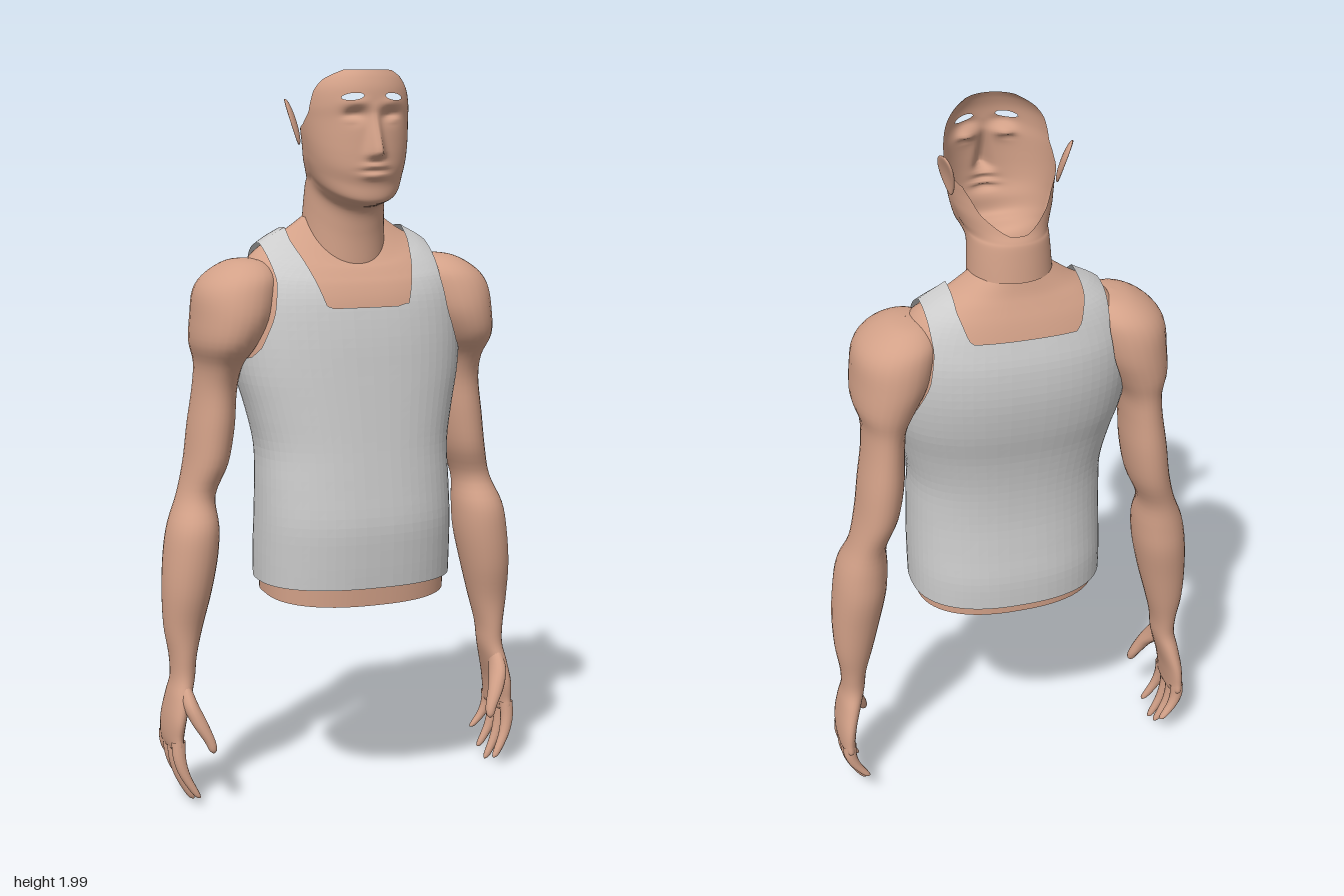
import * as THREE from 'three';
import { mergeVertices } from 'three/addons/utils/BufferGeometryUtils.js';

const skin = new THREE.MeshStandardMaterial({ color: 0xd3a188, side: THREE.DoubleSide });
const cloth = new THREE.MeshStandardMaterial({ color: 0xcccccc, side: THREE.DoubleSide, flatShading: true });

// Piecewise linear lookup in [[x, y], ...]
function lookup(pts, x) {
  if (x <= pts[0][0]) return pts[0][1];
  for (let i = 1; i < pts.length; i++) {
    const [x0, y0] = pts[i - 1], [x1, y1] = pts[i];
    if (x <= x1) return y0 + (y1 - y0) * (x - x0) / (x1 - x0);
  }
  return pts[pts.length - 1][1];
}

// Catmull-Rom through the rows of a section table, t in 0..1
function sampleRows(rows, t) {
  const last = rows.length - 1, f = t * last, k = Math.min(Math.floor(f), last - 1), w = f - k;
  const [a, b, c, d] = [k - 1, k, k + 1, k + 2].map(i => rows[Math.max(0, Math.min(last, i))]);
  return b.map((p, i) => p + 0.5 * w * (c[i] - a[i] + w * (2 * a[i] - 5 * p + 4 * c[i] - d[i]
    + w * (3 * (p - c[i]) + d[i] - a[i]))));
}

// Closed rings, bottom to top. Row: [ySide, yFront, centreX, halfWidth, zFront, zBack, squareness]
function loft(rows, around, steps, shape) {
  const pos = [], idx = [];
  for (let i = 0; i <= steps; i++) {
    const [y, yf, cx, rx, zf, zb, n] = sampleRows(rows, i / steps);
    for (let j = 0; j < around; j++) {
      const a = j / around * Math.PI * 2, c = Math.cos(a), s = Math.sin(a);
      const u = Math.sign(c) * Math.abs(c) ** (2 / n), v = Math.sign(s) * Math.abs(s) ** (2 / n);
      const p = new THREE.Vector3(cx + rx * u, y + (yf - y) * Math.max(0, v), (zf + zb) / 2 + (zf - zb) / 2 * v);
      if (shape) shape(p);
      pos.push(p.x, p.y, p.z);
      if (i < steps) {
        const k = i * around + j, m = i * around + (j + 1) % around;
        idx.push(k, k + around, m, m, k + around, m + around);
      }
    }
  }
  const g = new THREE.BufferGeometry();
  g.setAttribute('position', new THREE.Float32BufferAttribute(pos, 3));
  g.setIndex(idx);
  g.computeVertexNormals();
  return g;
}

// Keep only the part of a surface where keep(point) > 0
function trim(geometry, keep) {
  const pos = geometry.attributes.position, idx = geometry.index, out = [];
  for (let i = 0; i < idx.count; i += 3) {
    const tri = [0, 1, 2].map(k => new THREE.Vector3().fromBufferAttribute(pos, idx.getX(i + k)));
    const f = tri.map(keep), poly = [];
    for (let k = 0; k < 3; k++) {
      const m = (k + 1) % 3;
      if (f[k] > 0) poly.push(tri[k]);
      if (f[k] > 0 !== f[m] > 0) poly.push(tri[k].clone().lerp(tri[m], f[k] / (f[k] - f[m])));
    }
    for (let k = 2; k < poly.length; k++) for (const p of [poly[0], poly[k - 1], poly[k]]) out.push(p.x, p.y, p.z);
  }
  let g = new THREE.BufferGeometry();
  g.setAttribute('position', new THREE.Float32BufferAttribute(out, 3));
  g = mergeVertices(g, 1e-5);
  g.computeVertexNormals();
  return g;
}

function add(parent, name, geometry, material) {
  const mesh = new THREE.Mesh(geometry, material);
  mesh.name = name;
  parent.add(mesh);
  return mesh;
}

// Limb from rows listed top to bottom: [y, xInner, xOuter, zFront, zBack]
function limb(rows, around, steps) {
  return loft(rows.map(([y, x0, x1, zf, zb]) => [y, y, (x0 + x1) / 2, (x1 - x0) / 2, zf, zb, 2.1]).reverse(), around, steps);
}

const torsoRows = [
  [0.63, 0.63, 0.272, 0.225, -0.19], [0.71, 0.71, 0.273, 0.23, -0.19], [0.8, 0.8, 0.272, 0.232, -0.18],
  [0.9, 0.9, 0.27, 0.22, -0.172], [1.0, 1.0, 0.27, 0.207, -0.175], [1.1, 1.1, 0.29, 0.195, -0.19],
  [1.2, 1.2, 0.315, 0.183, -0.215], [1.3, 1.3, 0.326, 0.17, -0.23], [1.39, 1.39, 0.325, 0.152, -0.228],
  [1.46, 1.44, 0.31, 0.132, -0.212], [1.515, 1.465, 0.275, 0.115, -0.195], [1.555, 1.485, 0.225, 0.1, -0.178],
  [1.585, 1.495, 0.17, 0.09, -0.166], [1.625, 1.505, 0.112, 0.08, -0.156]];

const torso = (inset, around, steps) => loft(torsoRows.map(([y, yf, rx, zf, zb]) =>
  [y - inset * 0.6, yf - inset * 0.6, 0, rx - inset, zf - inset, zb + inset, 2.4]), around, steps);

// Shirt outline: armholes, square neckline and straps
const armhole = [[1.21, 0.4], [1.235, 0.315], [1.27, 0.285], [1.36, 0.25], [1.45, 0.236], [1.54, 0.242]];
const neckSide = [[1.38, 0.115], [1.55, 0.17]];
function shirtArea(p) {
  const x = Math.abs(p.x), neckY = p.z > -0.03 ? 1.38 : 1.475;
  return Math.min(lookup(armhole, p.y) - x, Math.max(neckY - p.y, x - lookup(neckSide, p.y)));
}

const headRows = [
  [1.61, 1.49, 0.11, 0.078, -0.155], [1.66, 1.57, 0.107, 0.082, -0.15], [1.7, 1.632, 0.105, 0.098, -0.145],
  [1.715, 1.648, 0.108, 0.148, -0.14], [1.735, 1.66, 0.118, 0.178, -0.13], [1.765, 1.7, 0.128, 0.183, -0.12],
  [1.79, 1.735, 0.133, 0.192, -0.115], [1.815, 1.775, 0.137, 0.193, -0.11], [1.84, 1.82, 0.14, 0.191, -0.11],
  [1.875, 1.87, 0.142, 0.188, -0.11], [1.91, 1.91, 0.142, 0.19, -0.11], [1.95, 1.95, 0.136, 0.187, -0.11],
  [1.98, 1.98, 0.12, 0.178, -0.1], [2.0, 2.0, 0.098, 0.168, -0.09]];

const bump = (v, centre, width) => Math.exp(-(((v - centre) / width) ** 2));
const noseHeight = [[1.765, 0], [1.785, 0.042], [1.8, 0.04], [1.89, 0.004], [1.92, 0]];

// Nose, eye sockets, lids, lips and chin
function faceFeatures(p) {
  if (p.z < 0.05) return;
  const x = Math.abs(p.x), { y } = p;
  p.z += lookup(noseHeight, y) * bump(x, 0, 0.013 + 0.1 * Math.max(0, 1.86 - y))
    - 0.022 * bump(x, 0.05, 0.026) * bump(y, 1.883, 0.017)
    + 0.01 * bump(x, 0.055, 0.02) * bump(y, 1.872, 0.008)
    + 0.006 * bump(x, 0.05, 0.03) * bump(y, 1.915, 0.012)
    + 0.012 * bump(x, 0, 0.03) * (bump(y, 1.752, 0.009) + bump(y, 1.727, 0.009))
    - 0.006 * bump(x, 0, 0.035) * bump(y, 1.74, 0.005);
}

// Open crown: the edge climbs from nape to forehead, with gaps for the brows
const crownEdge = [[-0.16, 1.72], [-0.13, 1.73], [-0.08, 1.78], [-0.04, 1.84], [0.03, 1.86],
  [0.07, 1.89], [0.085, 1.95], [0.1, 1.975], [0.15, 2.01]];
function headArea(p) {
  const brow = Math.hypot((Math.abs(p.x) - 0.057) / 0.028, (p.y - 1.931 - 0.1 * (0.057 - Math.abs(p.x))) / 0.009) - 1;
  return Math.min(lookup(crownEdge, p.z) - p.y, p.z > 0.05 ? brow * 0.02 : 1);
}

// Dished ear, tilted outwards
function ear() {
  const g = new THREE.SphereGeometry(1, 24, 16), pos = g.attributes.position;
  for (let i = 0; i < pos.count; i++) {
    const x = pos.getX(i), y = pos.getY(i), z = pos.getZ(i), r = y * y + z * z;
    pos.setXYZ(i, x * 0.012 - (x > 0 ? 0.014 * (1 - r) : 0), y * 0.064, z * (0.026 + 0.009 * y));
  }
  g.computeVertexNormals();
  return g;
}

const armRows = [
  [1.505, 0.28, 0.281, -0.05, -0.051], [1.497, 0.23, 0.33, 0.02, -0.12], [1.465, 0.2, 0.385, 0.075, -0.17],
  [1.42, 0.2, 0.419, 0.102, -0.193], [1.35, 0.22, 0.428, 0.115, -0.2], [1.28, 0.26, 0.43, 0.1, -0.195],
  [1.22, 0.295, 0.413, 0.05, -0.185], [1.15, 0.305, 0.415, 0.02, -0.185], [1.05, 0.31, 0.43, 0.015, -0.19],
  [0.95, 0.328, 0.443, 0.008, -0.185], [0.86, 0.363, 0.465, -0.015, -0.165], [0.78, 0.36, 0.497, 0.02, -0.165],
  [0.7, 0.365, 0.511, 0.027, -0.165], [0.6, 0.385, 0.518, 0.02, -0.15], [0.5, 0.41, 0.515, 0, -0.135],
  [0.42, 0.43, 0.503, -0.005, -0.12], [0.36, 0.437, 0.501, -0.005, -0.115], [0.31, 0.45, 0.511, 0.01, -0.13],
  [0.25, 0.467, 0.521, 0.02, -0.145], [0.2, 0.475, 0.523, 0.014, -0.148], [0.165, 0.48, 0.516, 0.01, -0.143],
  [0.155, 0.497, 0.498, -0.06, -0.061]];

function arm() {
  const group = new THREE.Group();
  add(group, 'armAndPalm', limb(armRows, 28, 84), skin);
  // Fingers, index to little: base z, tip z, tip y
  for (const [z0, z1, tip] of [[-0.006, 0.022, 0.03], [-0.046, -0.038, 0.008], [-0.086, -0.087, 0.03], [-0.124, -0.137, 0.075]]) {
    const rows = [0, 0.3, 0.6, 0.93, 1].map((t, i) => {
      const x = 0.499 + 0.02 * t - 0.07 * t * t, z = z0 + (z1 - z0) * t, r = [0.02, 0.018, 0.015, 0.01, 0.001][i];
      return [0.19 + (tip - 0.19) * t, x - r, x + r, z + r, z - r];
    });
    add(group, 'finger', limb(rows, 12, 16), skin);
  }
  add(group, 'thumb', limb([[0.35, 0.46, 0.485, -0.01, -0.06], [0.3, 0.447, 0.49, 0.035, -0.04],
    [0.25, 0.428, 0.472, 0.055, 0.005], [0.2, 0.411, 0.442, 0.066, 0.03], [0.175, 0.409, 0.43, 0.067, 0.044],
    [0.165, 0.418, 0.419, 0.058, 0.057]], 14, 24), skin);
  return group;
}

export function createModel() {
  const model = new THREE.Group();
  model.name = 'manInTankTop';
  add(model, 'tankTop', trim(torso(0, 64, 52), shirtArea), cloth);
  add(model, 'shouldersAndChest', trim(torso(0.012, 64, 52), p => p.y - 1.2), skin);
  add(model, 'waist', loft([[0.595, 0.578, 0, 0.256, 0.207, -0.168, 2.4], [0.68, 0.68, 0, 0.258, 0.21, -0.17, 2.4]], 64, 2), skin);
  add(model, 'headAndNeck', trim(loft(headRows.map(([y, yf, ...r]) => [y, yf, 0, ...r, 2.1]), 128, 90, faceFeatures), headArea), skin);
  for (const side of [1, -1]) {
    const half = new THREE.Group();
    half.name = side > 0 ? 'leftSide' : 'rightSide';
    half.scale.x = side;
    const limbGroup = arm();
    limbGroup.name = 'arm';
    half.add(limbGroup);
    const earMesh = add(half, 'ear', ear(), skin);
    earMesh.position.set(0.155, 1.865, -0.016);
    earMesh.rotation.set(-0.15, 0.45, -0.25);
    model.add(half);
  }
  return model;
}
